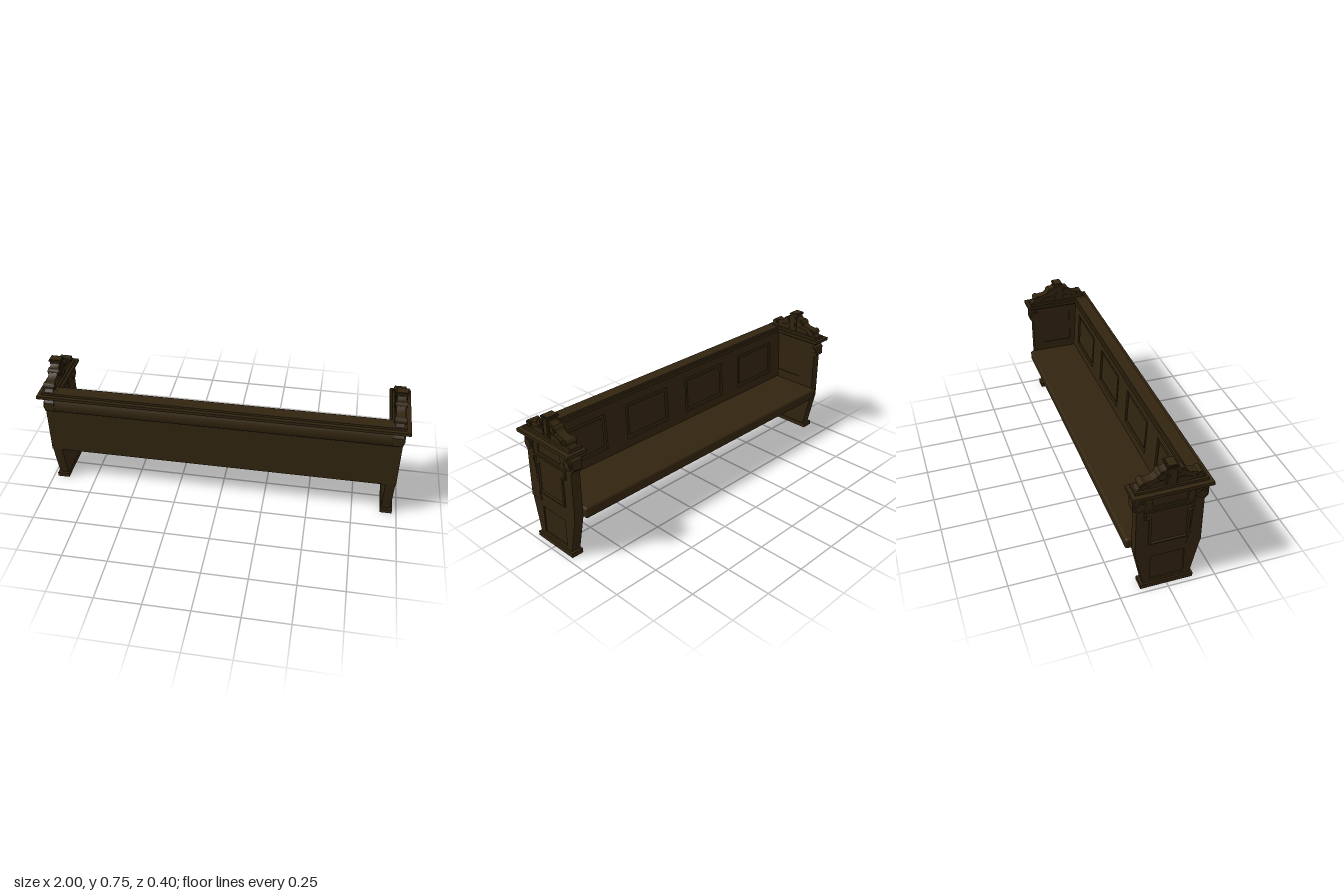
import * as THREE from 'three';
import { RoundedBoxGeometry } from 'three/addons/geometries/RoundedBoxGeometry.js';
import { toCreasedNormals } from 'three/addons/utils/BufferGeometryUtils.js';

const darkOak = new THREE.MeshStandardMaterial({ color: 0x31240f });
darkOak.name = 'darkOak';

const path = (points, Type = THREE.Shape) => new Type(points.map(([a, b]) => new THREE.Vector2(a, b)));
const rect = (w, y0, y1, c = 0) => [[c - w, y0], [c + w, y0], [c + w, y1], [c - w, y1]];
// Mirrors a half outline (listed bottom to top) into a closed symmetric one.
const mirrored = (half) => [...half, ...half.map(([a, b]) => [-a, b]).reverse()];

function add(group, name, geometry) {
  const mesh = new THREE.Mesh(geometry, darkOak);
  mesh.name = name;
  group.add(mesh);
  return mesh;
}

function box(group, name, x0, x1, y0, y1, z0, z1) {
  const g = new THREE.BoxGeometry(x1 - x0, y1 - y0, z1 - z0);
  g.translate((x0 + x1) / 2, (y0 + y1) / 2, (z0 + z1) / 2);
  return add(group, name, g);
}

// Extrudes a (z, y) outline along x from x0 to x1.
function slab(group, name, points, x0, x1, holes = []) {
  const shape = path(points.map(([z, y]) => [-z, y]));
  holes.forEach((h) => shape.holes.push(path(h, THREE.Path)));
  const g = new THREE.ExtrudeGeometry(shape, { depth: x1 - x0, bevelEnabled: false });
  g.rotateY(Math.PI / 2).translate(x0, 0, 0);
  return add(group, name, toCreasedNormals(g, 0.6));
}

function disc(group, name, r, x0, x1, y, z, sides = 16) {
  const g = new THREE.CylinderGeometry(r, r, x1 - x0, sides);
  g.rotateZ(Math.PI / 2).translate((x0 + x1) / 2, y, z);
  return add(group, name, toCreasedNormals(g, 0.6));
}

function createEnd() {
  const end = new THREE.Group();
  const outline = mirrored([[0.122, 0.02], [0.168, 0.232], [0.168, 0.592]]);
  const tShape = mirrored([[0.092, 0.29], [0.092, 0.45], [0.12, 0.45], [0.12, 0.49]]);
  const tFrame = mirrored([[0.105, 0.284], [0.105, 0.45], [0.13, 0.45], [0.13, 0.501]]);

  // Panelled side board: solid core with pierced facings
  slab(end, 'sideCore', outline, 0.92, 0.958);
  slab(end, 'outerFacing', outline, 0.958, 0.965,
    [rect(0.088, 0.515, 0.577), tShape, rect(0.088, 0.045, 0.198)]);
  slab(end, 'innerFacing', outline, 0.913, 0.92, [rect(0.09, 0.34, 0.55, 0.02)]);
  slab(end, 'panelMoulding', tFrame, 0.964, 0.972, [tShape]);

  // Plinth and stepped cornice
  box(end, 'foot', 0.908, 0.975, 0, 0.025, -0.138, 0.138);
  box(end, 'corniceBed', 0.902, 0.977, 0.588, 0.601, -0.18, 0.18);
  box(end, 'cornice', 0.888, 1, 0.6, 0.617, -0.2, 0.2);
  box(end, 'corniceTop', 0.9, 0.975, 0.616, 0.631, -0.18, 0.18);

  // Carved pediment
  slab(end, 'pediment', mirrored([
    [0.178, 0.625], [0.155, 0.645], [0.14, 0.668], [0.118, 0.672], [0.09, 0.676],
    [0.072, 0.69], [0.056, 0.71], [0.038, 0.713], [0.026, 0.724]]), 0.914, 0.962);
  box(end, 'centrePost', 0.909, 0.967, 0.628, 0.737, -0.023, 0.023);
  box(end, 'postPanel', 0.906, 0.97, 0.642, 0.722, -0.013, 0.013);
  box(end, 'postCap', 0.904, 0.973, 0.734, 0.74, -0.028, 0.028);
  box(end, 'postCapTop', 0.908, 0.969, 0.74, 0.745, -0.022, 0.022);

  for (const s of [-1, 1]) {
    disc(end, 'upperVolute', 0.021, 0.908, 0.968, 0.689, s * 0.05);
    disc(end, 'upperVoluteEye', 0.014, 0.905, 0.971, 0.689, s * 0.05);
    disc(end, 'lowerVolute', 0.019, 0.908, 0.968, 0.654, s * 0.138);
    disc(end, 'lowerVoluteEye', 0.012, 0.905, 0.971, 0.654, s * 0.138);
    const leaf = [[0.03, 0.633], [0.115, 0.633], [0.1, 0.65], [0.07, 0.66], [0.03, 0.663]];
    const points = leaf.map(([z, y]) => [s * z, y]);
    slab(end, 'leaf', points, 0.91, 0.966);

    // Scroll console under the cornice
    const scroll = [[0.13, 0.515], [0.168, 0.504], [0.18, 0.512], [0.188, 0.52],
      [0.188, 0.57], [0.178, 0.58], [0.165, 0.588], [0.13, 0.588]];
    slab(end, 'scroll', scroll.map(([z, y]) => [s * z, y]), 0.912, 0.967);
    disc(end, 'scrollBoss', 0.03, 0.908, 0.974, 0.542, s * 0.152, 12);
    disc(end, 'scrollBossEye', 0.021, 0.906, 0.977, 0.542, s * 0.152, 12);
  }
  return end;
}

export function createModel() {
  const pew = new THREE.Group();
  pew.name = 'pew';

  for (const side of ['left', 'right']) {
    const end = createEnd();
    end.name = side + 'End';
    if (side === 'right') end.rotation.y = Math.PI;
    pew.add(end);
  }

  // Backrest with a rolled moulding along the top
  slab(pew, 'backrest', [
    [0.09, 0.235], [0.169, 0.235], [0.169, 0.504], [0.178, 0.512], [0.184, 0.528],
    [0.186, 0.545], [0.183, 0.562], [0.176, 0.576], [0.171, 0.586], [0.178, 0.59],
    [0.178, 0.602], [0.125, 0.602], [0.107, 0.29]], -0.969, 0.969);

  // Inner facing with four recessed panels, leaning with the backrest
  const facing = path([[-0.914, 0], [0.914, 0], [0.914, 0.318], [-0.914, 0.318]]);
  const panels = [-0.675, -0.225, 0.225, 0.675];
  panels.forEach((x) => facing.holes.push(path(rect(0.155, 0.055, 0.26, x), THREE.Path)));
  const facingMesh = add(pew, 'panelFrame',
    new THREE.ExtrudeGeometry(facing, { depth: 0.012, bevelEnabled: false }));
  facingMesh.position.set(0, 0.285, 0.096);
  facingMesh.rotation.x = Math.atan2(0.018, 0.312);

  // Raised field inside each panel
  for (const x of panels) {
    const field = add(pew, 'panelField', new THREE.BoxGeometry(0.27, 0.165, 0.01));
    field.position.set(x, 0.443, 0.1135);
    field.rotation.x = facingMesh.rotation.x;
  }

  // Top rail
  box(pew, 'topRail', -0.89, 0.89, 0.6, 0.617, 0.1, 0.2);
  box(pew, 'topRailCap', -0.902, 0.902, 0.616, 0.63, 0.11, 0.18);

  // Seat board with a rounded front edge
  const seat = add(pew, 'seat', new RoundedBoxGeometry(1.83, 0.061, 0.33, 3, 0.012));
  seat.position.set(0, 0.2625, -0.033);
  return pew;
}
